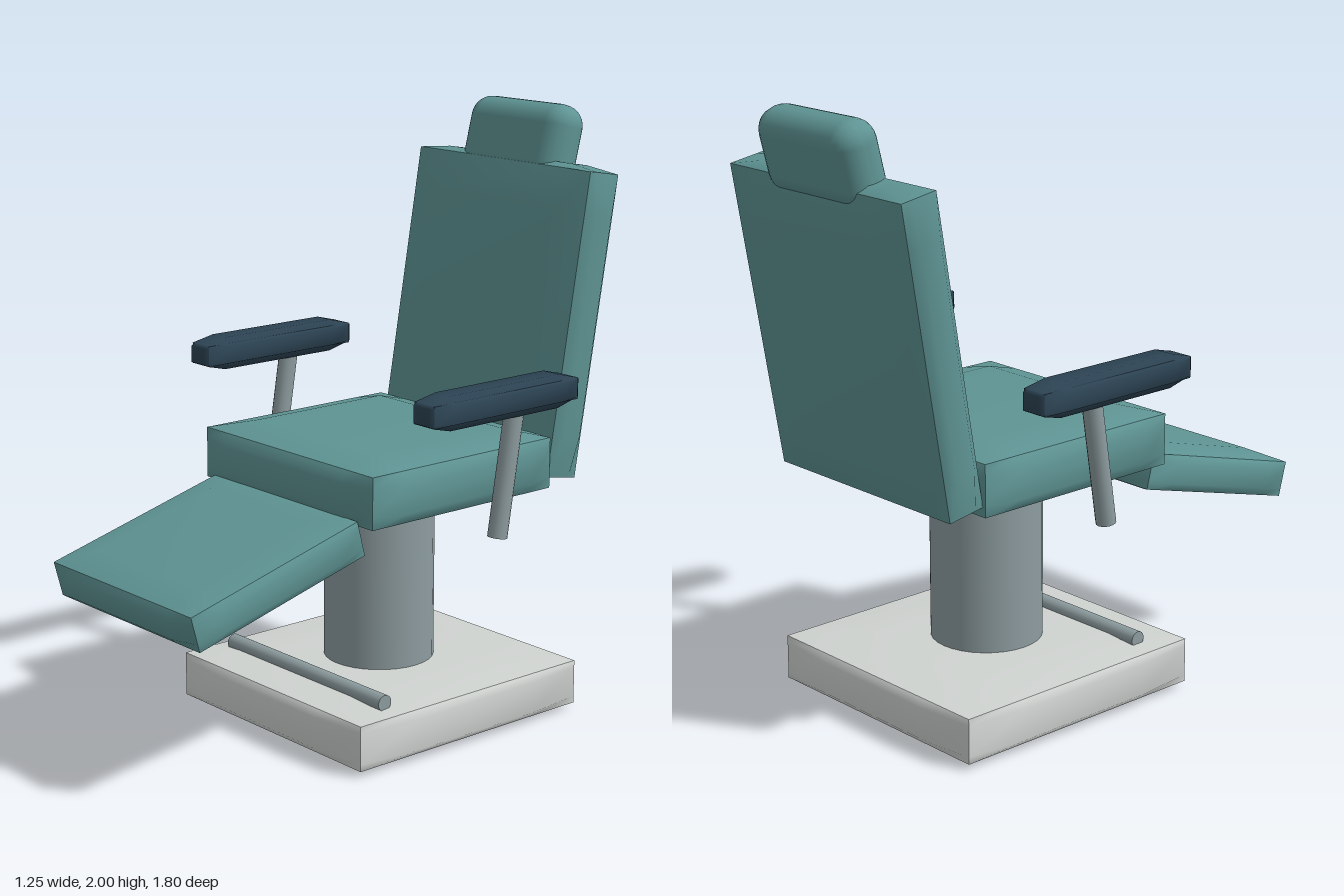
import * as THREE from 'three';
import { RoundedBoxGeometry } from 'three/addons/geometries/RoundedBoxGeometry.js';

const mat = (name, color) => new THREE.MeshStandardMaterial({ name, color });

// Upholstered box: straight creased edges, every face puffed out by its own bulge.
// half = half sizes at the edges, bulge = puff per axis, k = where the puff levels off
function cushion(half, bulge, k) {
  const g = new THREE.BoxGeometry(2, 2, 2, 3, 3, 3);
  const p = g.attributes.position, n = g.attributes.normal;
  for (let i = 0; i < p.count; i++) {
    const c = [p.getX(i), p.getY(i), p.getZ(i)];
    const d = [n.getX(i), n.getY(i), n.getZ(i)];
    const inner = c.every((v, a) => Math.abs(d[a]) > 0.5 || Math.abs(v) < 0.9);
    const out = c.map((v, a) => {
      const t = Math.abs(v) < 0.9 ? Math.sign(v) * k[a] : Math.sign(v);
      return t * half[a] + (inner ? d[a] * bulge[a] : 0);
    });
    p.setXYZ(i, ...out);
  }
  g.computeVertexNormals();
  return g;
}

export function createModel() {
  const group = new THREE.Group();
  const teal = mat('tealUpholstery', 0x5f9494);
  const navy = mat('darkArmPad', 0x2c4353);
  const metal = mat('greyMetal', 0x8d9c9f);
  const pale = mat('paleBase', 0xcfd3d0);

  const add = (name, geometry, material, x, y, z, tilt = 0) => {
    const m = new THREE.Mesh(geometry, material);
    m.name = name;
    m.position.set(x, y, z);
    m.rotation.x = tilt;
    group.add(m);
    return m;
  };

  // Base, lifting column and foot bar
  add('base', cushion([0.455, 0.075, 0.475], [0.022, 0.02, 0.02], [0.55, 0.7, 0.55]), pale, 0, 0.095, -0.173);
  add('column', new THREE.CylinderGeometry(0.185, 0.185, 0.57, 32), metal, 0, 0.452, -0.17);
  const bar = add('footBar', new THREE.CylinderGeometry(0.027, 0.027, 0.78, 16), metal, 0, 0.192, 0.145);
  bar.rotation.z = Math.PI / 2;

  // Seat, backrest, leg rest and headrest
  add('seat', cushion([0.42, 0.085, 0.385], [0.028, 0.03, 0.03], [0.7, 0.55, 0.7]), teal, 0, 0.87, -0.16);
  add('backrest', cushion([0.408, 0.505, 0.066], [0.024, 0.016, 0.032], [0.72, 0.72, 0.55]), teal, 0, 1.303, -0.695, -0.17);
  add('legRest', cushion([0.362, 0.06, 0.335], [0.02, 0.02, 0.022], [0.7, 0.55, 0.7]), teal, 0, 0.66, 0.545, 0.26);
  add('headrest', new RoundedBoxGeometry(0.46, 0.27, 0.155, 3, 0.072), teal, 0, 1.867, -0.808, -0.25);

  // Arm pads on slanted posts
  const padGeometry = cushion([0.045, 0.035, 0.308], [0.02, 0.02, 0.014], [0.75, 0.8, 0.75]);
  const postGeometry = new THREE.CylinderGeometry(0.032, 0.032, 0.41, 16);
  for (const side of [-1, 1]) {
    const label = side > 0 ? 'left' : 'right';
    add(label + 'ArmPad', padGeometry, navy, side * 0.56, 1.165, -0.167);
    add(label + 'ArmPost', postGeometry, metal, side * 0.56, 0.922, -0.207, -0.16);
  }
  return group;
}
